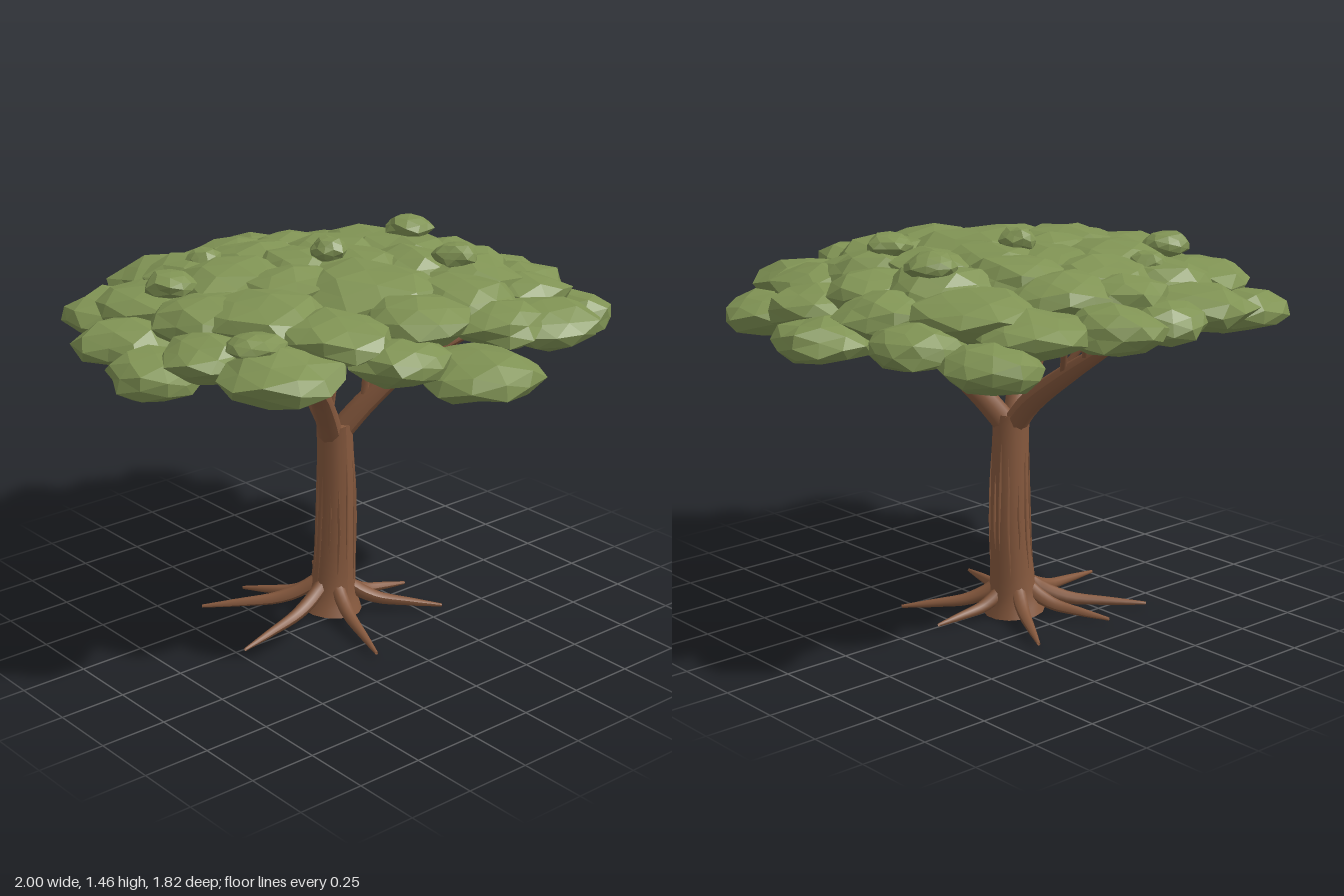
import * as THREE from 'three';
import { mergeVertices } from 'three/addons/utils/BufferGeometryUtils.js';

const V = (x, y, z) => new THREE.Vector3(x, y, z);

// Small seeded generator
let seed = 7;
const rand = () => {
  seed = (seed * 16807) % 2147483647;
  return seed / 2147483647;
};

const bark = new THREE.MeshStandardMaterial({ color: 0x85583d, side: THREE.DoubleSide });
const leaves = new THREE.MeshStandardMaterial({ color: 0x809354, flatShading: true });

// Tube along a curve whose radius is interpolated from a list
function limb(name, points, radii, sides = 8, steps = 12) {
  const curve = new THREE.CatmullRomCurve3(points);
  const geo = new THREE.TubeGeometry(curve, steps, 1, sides);
  const pos = geo.attributes.position;
  const p = V(0, 0, 0);
  for (let i = 0; i <= steps; i++) {
    const centre = curve.getPointAt(i / steps);
    const f = (i / steps) * (radii.length - 1);
    const k = Math.min(Math.floor(f), radii.length - 2);
    const r = THREE.MathUtils.lerp(radii[k], radii[k + 1], f - k);
    for (let j = 0; j <= sides; j++) {
      const n = i * (sides + 1) + j;
      p.fromBufferAttribute(pos, n).sub(centre).multiplyScalar(r).add(centre);
      pos.setXYZ(n, p.x, p.y, p.z);
    }
  }
  geo.computeVertexNormals();
  const mesh = new THREE.Mesh(geo, bark);
  mesh.name = name;
  return { mesh, curve };
}

// Flattened, irregular faceted ball of leaves
function clump(name, x, y, z, r, h) {
  let geo = new THREE.IcosahedronGeometry(1, 1);
  geo.deleteAttribute('normal');
  geo.deleteAttribute('uv');
  geo = mergeVertices(geo, 1e-3);
  geo.rotateY(rand() * 6.28);
  const pos = geo.attributes.position;
  for (let i = 0; i < pos.count; i++) {
    const k = 0.84 + rand() * 0.24;
    pos.setXYZ(i, pos.getX(i) * k * r, pos.getY(i) * k * h, pos.getZ(i) * k * r);
  }
  geo.computeVertexNormals();
  const mesh = new THREE.Mesh(geo, leaves);
  mesh.position.set(x, y, z);
  mesh.name = name;
  return mesh;
}

// Trunk axis and radius by height
const trunkX = (y) => 0.005 + 0.015 * Math.sin(y * 4);
const trunkZ = (y) => -0.06 + 0.02 * y;
const trunkR = (y) => 0.067 + 0.016 * Math.max(0, 1 - y / 0.7) + 0.032 * Math.exp(-y / 0.06);

function buildTrunk() {
  const g = new THREE.Group();
  g.name = 'trunk';
  const pts = [], radii = [];
  for (let i = 0; i <= 12; i++) {
    const y = (i / 12) * 0.76;
    pts.push(V(trunkX(y), y, trunkZ(y)));
    radii.push(trunkR(y));
  }
  g.add(limb('trunkStem', pts, radii, 14, 24).mesh);

  // Disc closing the top between the branches
  const disc = new THREE.Mesh(new THREE.CircleGeometry(trunkR(0.76), 14), bark);
  disc.rotation.x = -Math.PI / 2;
  disc.position.set(trunkX(0.76), 0.76, trunkZ(0.76));
  disc.name = 'trunkCap';
  g.add(disc);

  // Thin bark ridges running up the stem
  for (let i = 0; i < 13; i++) {
    const a = (i / 13) * Math.PI * 2 + rand() * 0.2;
    const y0 = 0.12 + rand() * 0.15, y1 = 0.48 + rand() * 0.2;
    const ridge = [];
    for (let k = 0; k <= 4; k++) {
      const y = y0 + ((y1 - y0) * k) / 4, r = trunkR(y);
      const b = a + (rand() - 0.5) * 0.08;
      ridge.push(V(trunkX(y) + Math.cos(b) * r, y, trunkZ(y) + Math.sin(b) * r));
    }
    g.add(limb('barkRidge', ridge, [0.001, 0.006, 0.006, 0.001], 4, 8).mesh);
  }
  return g;
}

// Surface roots, given by the ground position of their tips
function buildRoots() {
  const g = new THREE.Group();
  g.name = 'roots';
  const tips = [[-0.48, 0.03], [0.19, -0.4], [-0.13, 0.36], [0.32, 0.22], [0.34, -0.02], [-0.39, -0.36], [-0.17, -0.39]];
  for (const [x, z] of tips) {
    const at = (f, y) => V(0.005 + (x - 0.005) * f, y, -0.06 + (z + 0.06) * f);
    g.add(limb('root', [at(0.12, 0.11), at(0.25, 0.07), at(0.42, 0.04), at(0.7, 0.024), at(1, 0.01)],
      [0.027, 0.026, 0.02, 0.014, 0.006]).mesh);
  }
  return g;
}

// Three main limbs, each with twigs fanning up into the crown
function buildBranches() {
  const g = new THREE.Group();
  g.name = 'branches';
  const mains = [
    [V(-0.015, 0.72, -0.04), V(-0.1, 0.85, 0.03), V(-0.24, 1.0, 0.14), V(-0.56, 1.15, 0.3)],
    [V(0.025, 0.72, -0.04), V(0.11, 0.85, 0.03), V(0.24, 1.0, 0.13), V(0.54, 1.15, 0.28)],
    [V(0.01, 0.72, -0.06), V(0.01, 0.82, -0.15), V(0.02, 0.97, -0.36), V(0.03, 1.16, -0.66)],
  ];
  for (const pts of mains) {
    const { mesh, curve } = limb('mainBranch', pts, [0.046, 0.042, 0.036, 0.028, 0.018], 9, 16);
    g.add(mesh);
    const out = Math.atan2(pts[3].z - pts[0].z, pts[3].x - pts[0].x);
    [0.38, 0.48, 0.58, 0.68, 0.78, 0.88].forEach((t, i) => {
      const s = curve.getPointAt(t);
      const a = out + (i % 2 ? 1 : -1) * (0.65 + rand() * 0.5);
      const len = 0.18 + rand() * 0.14;
      const end = V(s.x + Math.cos(a) * len, 1.2 + rand() * 0.05, s.z + Math.sin(a) * len);
      const mid = s.clone().lerp(end, 0.5).add(V(0, 0.02, 0));
      g.add(limb('twig', [s, mid, end], [0.015, 0.011, 0.006], 6, 8).mesh);
    });
  }
  // Slender inner shoots below the middle of the crown
  for (const [x0, y0, z0, x1, z1] of [[-0.07, 0.84, 0.02, -0.04, 0.03], [0.09, 0.86, 0.03, 0.1, 0.0], [0.01, 0.88, -0.18, 0.06, -0.2], [0.01, 0.86, -0.16, -0.12, -0.22]]) {
    const end = V(x1, 1.28, z1), start = V(x0, y0, z0);
    g.add(limb('innerShoot', [start, start.clone().lerp(end, 0.5).add(V(0.01, 0, 0.01)), end], [0.016, 0.012, 0.007], 6, 8).mesh);
  }
  return g;
}

function buildCrown() {
  const g = new THREE.Group();
  g.name = 'crown';
  // x, z, radius and optional height shift of each clump, rim first then the middle
  const rim = [
    [-0.83, 0.03, 0.17], [-0.74, -0.25, 0.19], [-0.56, -0.61, 0.19], [-0.28, -0.66, 0.22], [-0.08, -0.74, 0.14],
    [0.15, -0.72, 0.18], [0.42, -0.59, 0.2], [0.6, -0.63, 0.18], [0.71, -0.37, 0.18], [0.83, -0.03, 0.17],
    [0.69, 0.2, 0.18], [0.71, 0.44, 0.17], [0.44, 0.57, 0.2], [0.02, 0.7, 0.21, -0.07], [-0.23, 0.58, 0.18, -0.03],
    [-0.6, 0.41, 0.22], [-0.69, 0.15, 0.17],
  ];
  const middle = [
    [-0.55, -0.39, 0.22], [-0.3, -0.48, 0.2], [-0.07, -0.38, 0.2], [0.15, -0.47, 0.19], [0.17, -0.25, 0.19],
    [0.48, -0.4, 0.23], [-0.3, -0.22, 0.23], [-0.55, -0.05, 0.21], [0.1, -0.05, 0.2], [0.42, -0.15, 0.21],
    [0.65, -0.15, 0.18], [-0.42, 0.13, 0.22], [-0.02, 0.16, 0.27], [0.3, 0.05, 0.18], [0.4, 0.23, 0.2],
    [0.55, 0.36, 0.18], [-0.35, 0.4, 0.2], [-0.05, 0.46, 0.2], [0.22, 0.4, 0.2], [-0.2, -0.02, 0.18],
    [0.22, 0.57, 0.17], [-0.03, -0.57, 0.17], [0.56, 0.05, 0.17], [-0.03, -0.2, 0.18],
  ];
  for (const [x, z, r, dy = 0] of [...rim, ...middle])
    g.add(clump('leafClump', x, 1.32 - 0.28 * Math.hypot(x, z) ** 3 + dy, z, r * 1.04, 0.06 + r * 0.12));
  // Small tufts standing out of the crown: x, y, z, radius
  for (const [x, y, z, r] of [[-0.27, 1.34, -0.46, 0.07], [-0.55, 1.35, -0.27, 0.1], [0.49, 1.39, -0.18, 0.095],
    [0.02, 1.41, -0.09, 0.07], [0.37, 1.39, 0.2, 0.085], [-0.63, 1.29, 0.32, 0.11]])
    g.add(clump('leafTuft', x, y, z, r, 0.048));
  return g;
}

export function createModel() {
  seed = 7;
  const tree = new THREE.Group();
  tree.name = 'tree';
  tree.add(buildTrunk(), buildRoots(), buildBranches(), buildCrown());
  return tree;
}
